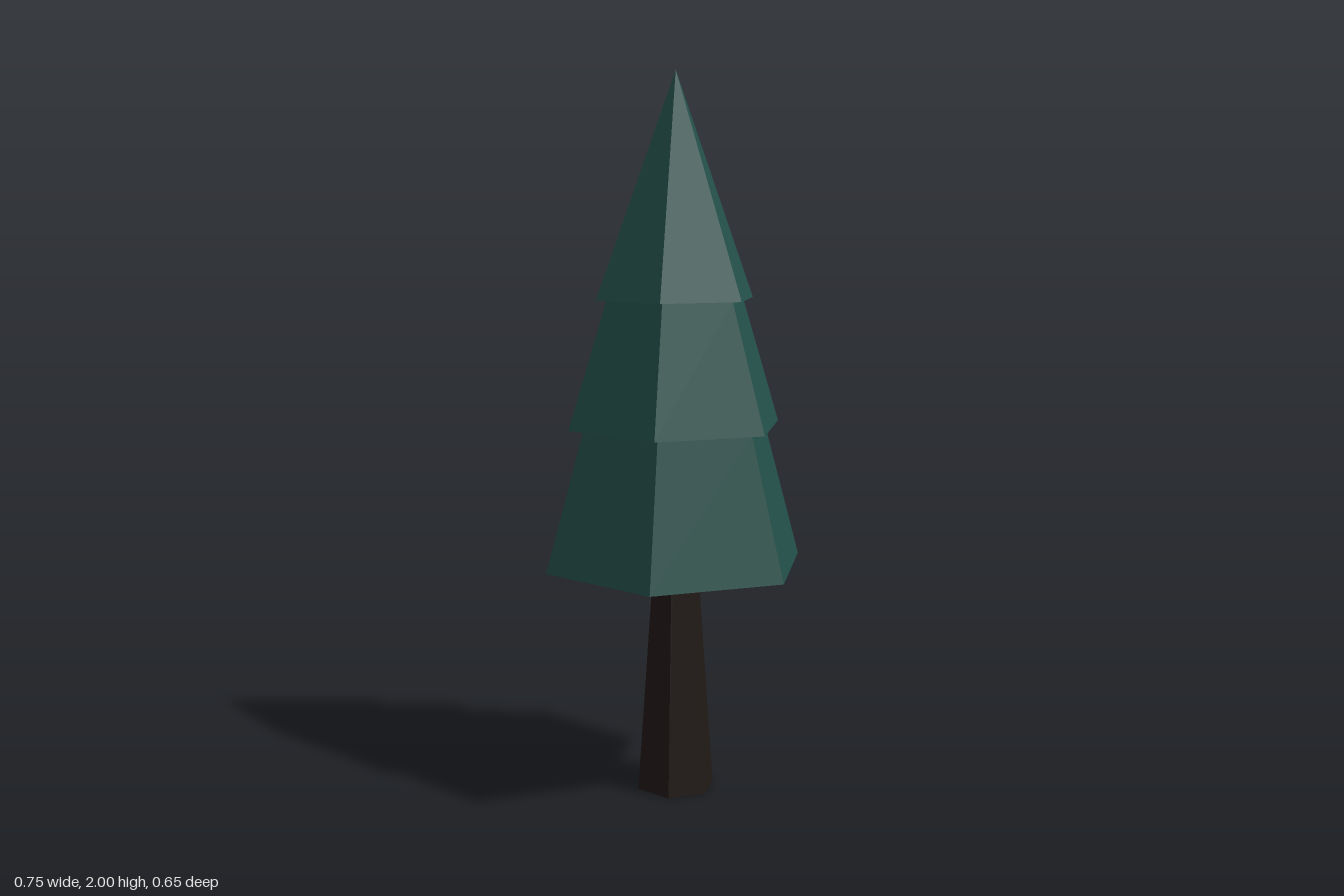
import * as THREE from 'three';

export function createModel() {
  const tree = new THREE.Group();
  tree.name = 'pineTree';

  const makeMaterial = (color) =>
    new THREE.MeshStandardMaterial({ color, flatShading: true, side: THREE.DoubleSide });
  const needles = makeMaterial(0x24504a);
  const bark = makeMaterial(0x211a17);

  // Six-sided tapered shell with corners on the x axis
  function addShell(name, material, bottomY, topY, bottomRadius, topRadius) {
    const height = topY - bottomY;
    const geometry = new THREE.CylinderGeometry(
      topRadius, bottomRadius, height, 6, 1, true, Math.PI / 6);
    geometry.translate(0, bottomY + height / 2, 0);
    const mesh = new THREE.Mesh(geometry, material);
    mesh.name = name;
    tree.add(mesh);
  }

  // Trunk tapers up inside the foliage
  addShell('trunk', bark, 0, 1.39, 0.113, 0.013);

  // Foliage tiers, open below, each overhanging the one beneath
  addShell('lowerFoliage', needles, 0.65, 1.04, 0.375, 0.265);
  addShell('middleFoliage', needles, 1.04, 1.39, 0.308, 0.198);
  addShell('topFoliage', needles, 1.39, 2, 0.228, 0);

  // Underside closing the top tier
  const underside = new THREE.Mesh(new THREE.CircleGeometry(0.228, 6), needles);
  underside.name = 'topFoliageUnderside';
  underside.rotation.x = Math.PI / 2;
  underside.position.y = 1.39;
  tree.add(underside);

  return tree;
}
